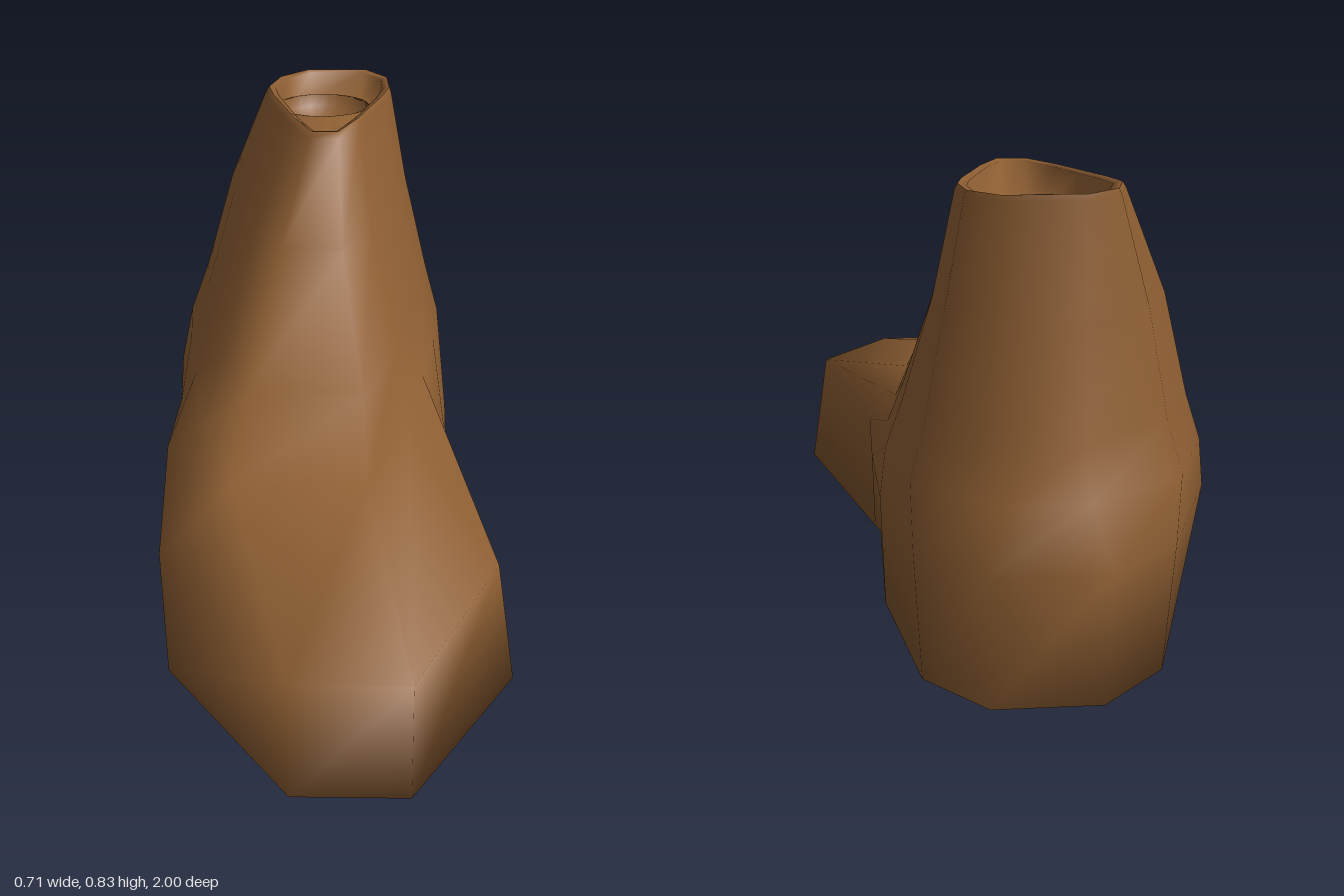
import * as THREE from 'three';

const N = 14; // points per ring, from the right of the toe round the heel to the left of the toe

// Edge of the sole, raised at the arch
const soleEdge = [
  [0.16, 0.003, 0.98], [0.355, 0.025, 0.62], [0.235, 0.008, 0.06], [0.235, 0.065, -0.17], [0.24, 0, -0.43],
  [0.2, 0, -0.83], [0.1, 0, -0.98], [-0.09, 0, -0.98], [-0.215, 0, -0.83], [-0.31, 0, -0.45],
  [-0.31, 0.065, -0.17], [-0.348, 0.015, 0.1], [-0.295, 0.003, 0.57], [-0.05, 0.003, 0.98],
];

// Widest line of the foot, where the sides turn into the upper
const widestLine = [
  [0.16, 0.235, 1], [0.322, 0.26, 0.62], [0.245, 0.25, 0.04], [0.252, 0.23, -0.2], [0.252, 0.23, -0.5],
  [0.215, 0.23, -0.84], [0.11, 0.23, -1], [-0.1, 0.23, -1], [-0.235, 0.23, -0.84], [-0.358, 0.23, -0.48],
  [-0.335, 0.24, -0.2], [-0.338, 0.25, 0.08], [-0.305, 0.25, 0.57], [-0.05, 0.235, 1],
];

// Half of a teardrop section: [width, distance from front to back]
const teardrop = [[0.2, 0], [0.5, 0.2], [0.72, 0.4], [0.9, 0.56], [1, 0.7], [0.9, 0.87], [0.5, 1]];

// Level teardrop ring; a smaller power gives a fuller front and a narrower heel
function ring(y, left, right, front, back, power = 1) {
  const half = (right - left) / 2;
  return Array.from({ length: N }, (_, i) => {
    const side = i < N / 2 ? 1 : -1;
    const [u, v] = teardrop[side > 0 ? i : N - 1 - i];
    const middle = ((left + right) / 2) * Math.min(1, (1 - v) / 0.3); // the heel runs to x = 0
    const width = Math.pow(u, v < 0.7 ? power : 3 - 2 * power);
    return [middle + side * half * width, y, front + (back - front) * v];
  });
}

// Level round ring for the socket
function circle(y, r, n = N) {
  return Array.from({ length: n }, (_, i) => {
    const a = ((i + 0.5) / n) * Math.PI * 2;
    return [-0.03 + r * Math.sin(a), y, -0.67 + r * Math.cos(a)];
  });
}

// Skin over a list of rings, each joined to the next; the first ring can be bridged from side to side
function loft(rings, closeBottom = false) {
  const n = rings[0].length, index = [];
  for (let r = 0; r < rings.length - 1; r++) {
    for (let i = 0; i < n; i++) {
      const j = (i + 1) % n, a = r * n, b = a + n;
      index.push(a + i, a + j, b + j, a + i, b + j, b + i);
    }
  }
  for (let i = 0; closeBottom && i < n / 2 - 1; i++) {
    const j = n - 1 - i;
    index.push(i, j, j - 1, i, j - 1, i + 1);
  }
  const geometry = new THREE.BufferGeometry();
  geometry.setAttribute('position', new THREE.Float32BufferAttribute(rings.flat(2), 3));
  geometry.setIndex(index);
  geometry.computeVertexNormals();
  return geometry;
}

export function createModel() {
  const group = new THREE.Group();
  group.name = 'foot';
  const material = new THREE.MeshStandardMaterial({ color: 0x8f5f33, side: THREE.DoubleSide });
  const add = (name, geometry) => {
    const mesh = new THREE.Mesh(geometry, material);
    mesh.name = name;
    group.add(mesh);
  };

  // Sole, sides, instep and ankle
  const rim = ring(0.832, -0.158, 0.125, -0.285, -0.878);
  add('footBody', loft([
    soleEdge,
    widestLine,
    ring(0.335, -0.338, 0.243, 0.45, -0.96, 0.5),
    ring(0.43, -0.302, 0.215, 0.22, -0.922, 0.5),
    ring(0.63, -0.245, 0.165, -0.08, -0.895, 0.7),
    ring(0.822, -0.165, 0.13, -0.265, -0.88, 0.95),
    rim,
  ], true));

  // Thin lip and sunken floor at the top of the ankle
  add('ankleRecess', loft([
    rim,
    ring(0.828, -0.142, 0.109, -0.305, -0.862),
    ring(0.765, -0.13, 0.095, -0.35, -0.84),
    circle(0.795, 0.108),
  ]));

  // Round bowl in the middle of the recess
  const bowl = [0, 0.25, 0.5, 0.75, 0.98].map((t) => {
    const a = t * Math.PI / 2;
    return circle(0.795 - 0.07 * Math.sin(a), 0.108 * Math.cos(a), 2 * N);
  });
  add('ankleSocket', loft(bowl));

  return group;
}
